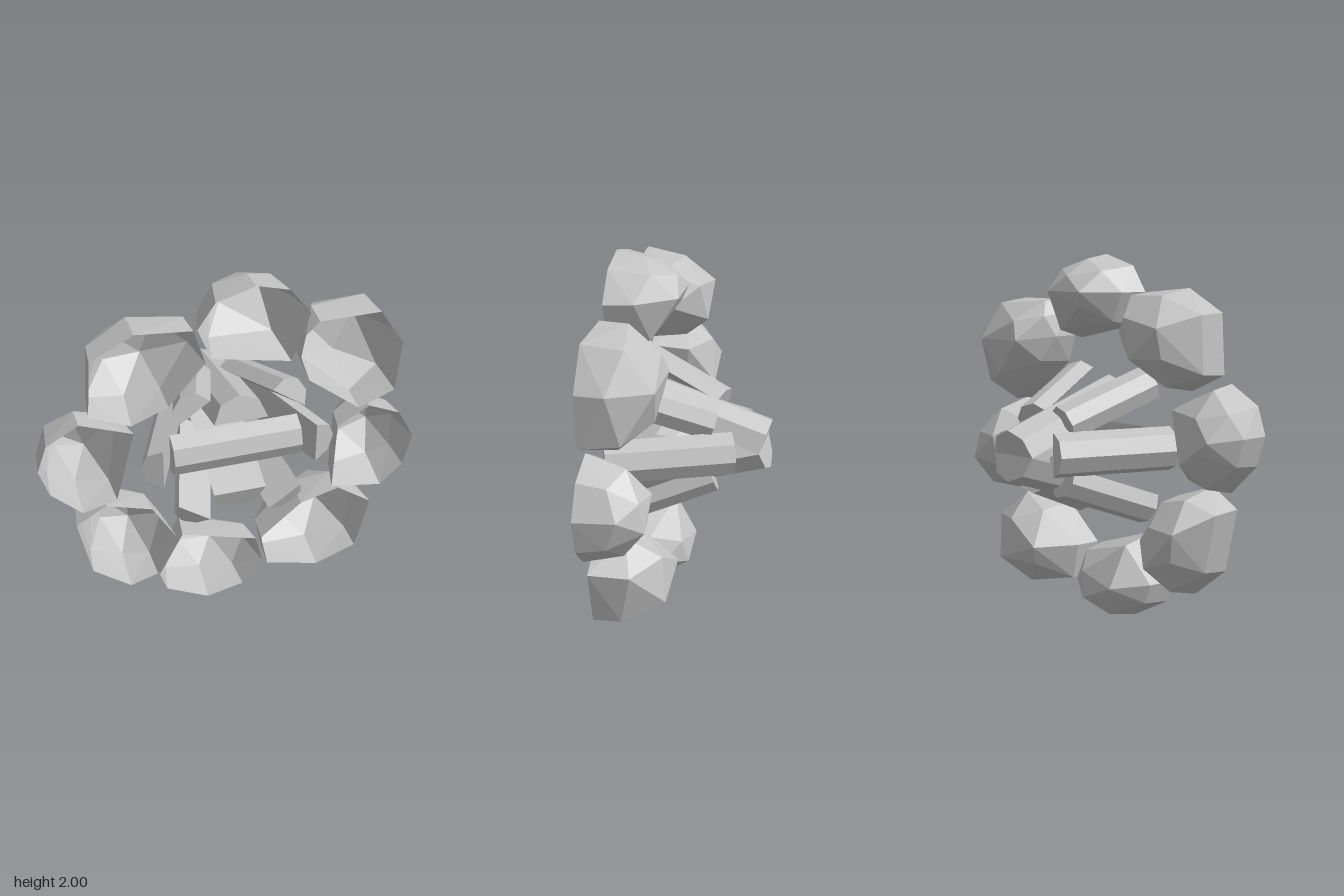
import * as THREE from 'three';
import { ConvexGeometry } from 'three/addons/geometries/ConvexGeometry.js';

const GROUND = 0.4; // the fire pit is built towards -z from this plane

// Faceted stone, open underneath, raised from its ground outline
function stoneGeometry(peak, swell, outline) {
  const n = outline.length;
  const cx = outline.reduce((s, p) => s + p[0], 0) / n;
  const cy = outline.reduce((s, p) => s + p[1], 0) / n;
  const points = [];
  const add = ([x, y], k, z) => points.push(new THREE.Vector3(cx + (x - cx) * k, cy + (y - cy) * k, z));
  outline.forEach((p, i) => {
    const even = i % 2 === 0;
    add(p, 1, GROUND);
    add(p, (even ? 0.92 : 0.84) + swell, even ? 0.25 : 0.19);
    if (even) add(p, 0.46 + swell, peak + 0.015 * (i % 4));
  });
  const hull = new ConvexGeometry(points).getAttribute('position');
  const kept = [];
  for (let i = 0; i < hull.count; i += 3) {
    const onGround = [0, 1, 2].every((k) => hull.getZ(i + k) > GROUND - 0.001);
    if (onGround) continue;
    for (let k = 0; k < 3; k++) kept.push(hull.getX(i + k), hull.getY(i + k), hull.getZ(i + k));
  }
  const geometry = new THREE.BufferGeometry();
  geometry.setAttribute('position', new THREE.Float32BufferAttribute(kept, 3));
  geometry.computeVertexNormals();
  return geometry;
}

// Split log: half octagon swept from one point to another, round side outward
function logGeometry(from, to, outward, radius) {
  const shape = new THREE.Shape();
  for (let i = 0; i <= 4; i++) {
    const a = (i * Math.PI) / 4;
    const x = radius * Math.cos(a), y = radius * Math.sin(a);
    if (i === 0) shape.moveTo(x, y);
    else shape.lineTo(x, y);
  }
  const axis = to.clone().sub(from);
  const geometry = new THREE.ExtrudeGeometry(shape, { depth: axis.length(), bevelEnabled: false });
  axis.normalize();
  const side = outward.clone().cross(axis).normalize();
  const up = axis.clone().cross(side);
  geometry.applyMatrix4(new THREE.Matrix4().makeBasis(side, up, axis).setPosition(from));
  return geometry;
}

export function createModel() {
  const model = new THREE.Group();
  model.name = 'firePit';
  const grey = new THREE.MeshStandardMaterial({ color: 0xc4c4c4, flatShading: true, side: THREE.DoubleSide });
  grey.name = 'stone grey';
  const add = (geometry, name) => {
    const mesh = new THREE.Mesh(geometry, grey);
    mesh.name = name;
    model.add(mesh);
  };

  // Ring of stones: peak height, fullness and ground outline
  const stones = [
    [0.055, -0.04, [[-0.18, 1.8], [-0.09, 1.94], [0.11, 2], [0.28, 1.95], [0.39, 1.8], [0.3, 1.53], [-0.11, 1.62]]],
    [0.04, 0.03, [[-0.71, 1.71], [-0.49, 1.83], [-0.2, 1.8], [-0.14, 1.6], [-0.33, 1.37], [-0.52, 1.29], [-0.73, 1.39]]],
    [0.07, 0, [[-1, 1.1], [-0.95, 1.25], [-0.78, 1.35], [-0.51, 1.24], [-0.61, 0.83], [-0.79, 0.78], [-0.95, 0.94]]],
    [0.05, 0, [[-0.83, 0.7], [-0.67, 0.8], [-0.43, 0.72], [-0.3, 0.49], [-0.41, 0.25], [-0.56, 0.2], [-0.76, 0.36]]],
    [0.04, 0.07, [[0.35, 1.54], [0.37, 1.67], [0.44, 1.74], [0.76, 1.74], [0.89, 1.53], [0.87, 1.24], [0.68, 1.16], [0.4, 1.39]]],
    [0.075, -0.05, [[0.57, 1.06], [0.74, 1.16], [0.91, 1.08], [1, 0.91], [0.96, 0.72], [0.84, 0.6], [0.56, 0.65]]],
    [0.04, 0.05, [[0.17, 0.37], [0.39, 0.57], [0.6, 0.63], [0.79, 0.49], [0.72, 0.18], [0.5, 0.09], [0.21, 0.17]]],
    [0.07, -0.03, [[-0.4, 0.24], [-0.27, 0.5], [0.14, 0.37], [0.18, 0.2], [0.07, 0.05], [-0.13, 0], [-0.36, 0.12]]],
  ];
  stones.forEach((stone, i) => add(stoneGeometry(...stone), `stone${i + 1}`));

  // Leaning logs: direction, foot distance, head distance, head z, radius
  const centre = new THREE.Vector3(0.047, 0.97, 0);
  const lean = (dx, dy, foot, head, headZ, radius, name) => {
    const out = new THREE.Vector3(dx, dy, 0);
    const at = (d, z) => centre.clone().addScaledVector(out, d).setZ(z);
    add(logGeometry(at(foot, GROUND), at(head, headZ), out, radius), name);
  };
  for (const s of [-1, 1]) {
    lean(0, s, 0.235, 0, -0.362, 0.142, 'tallLog');
    lean(s, 0, 0.41, 0.15, -0.22, 0.119, 'sideLog');
    for (const t of [-1, 1]) lean(0.6 * s, 0.8 * t, 0.415, 0.18, -0.105, 0.107, 'cornerLog');
  }

  // Log lying across the middle
  add(logGeometry(new THREE.Vector3(-0.3, 0.975, 0.28), new THREE.Vector3(0.385, 0.975, 0.28),
    new THREE.Vector3(0, 0, 1), 0.117), 'lyingLog');

  return model;
}
